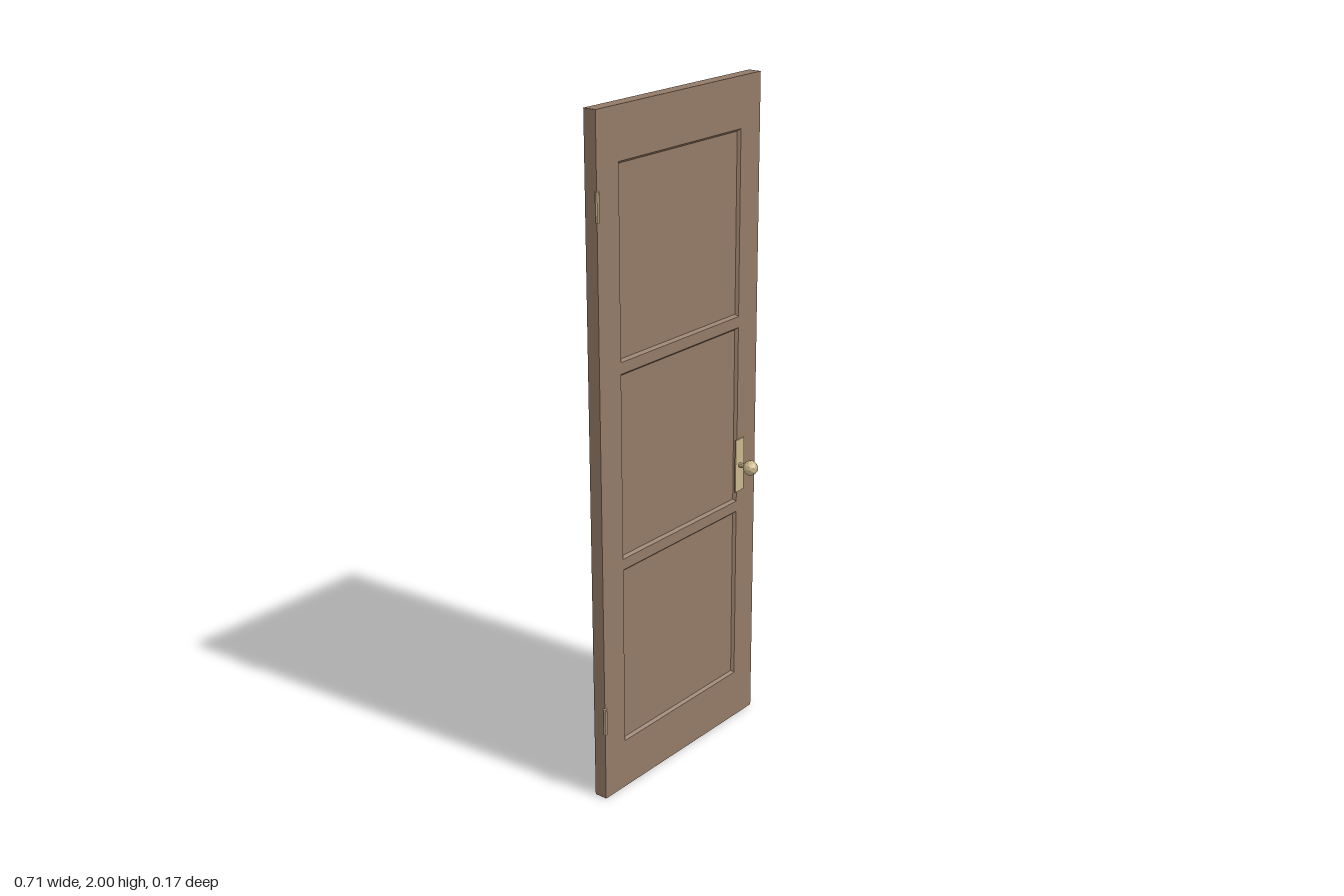
import * as THREE from 'three';

const wood = new THREE.MeshStandardMaterial({ color: 0x937a67, flatShading: true });
wood.name = 'brown wood';
const brass = new THREE.MeshStandardMaterial({ color: 0xcab68c, flatShading: true });
brass.name = 'pale brass';

const LEFT = -0.349, RIGHT = 0.355, HEIGHT = 2, HALF = 0.02;
const PANEL = { x0: -0.261, x1: 0.266, h: 0.545, bottoms: [0.152, 0.73, 1.308] };

function add(parent, name, geometry, material, x = 0, y = 0, z = 0) {
  const mesh = new THREE.Mesh(geometry, material);
  mesh.name = name;
  mesh.position.set(x, y, z);
  parent.add(mesh);
  return mesh;
}

// Counter-clockwise corners of a rectangle
const corners = (x0, y0, x1, y1) => [[x0, y0], [x1, y0], [x1, y1], [x0, y1]];
const outline = (pts) => pts.map(([x, y]) => new THREE.Vector2(x, y));

// Recessed panel facing +z: four sloping moulding faces around a flat field
function panelGeometry(w, h, inset, depth) {
  const outer = corners(-w / 2, -h / 2, w / 2, h / 2).map(([x, y]) => [x, y, 0]);
  const inner = corners(-w / 2 + inset, -h / 2 + inset, w / 2 - inset, h / 2 - inset)
    .map(([x, y]) => [x, y, -depth]);
  const pos = [];
  const quad = (a, b, c, d) => pos.push(...a, ...b, ...c, ...a, ...c, ...d);
  for (let i = 0; i < 4; i++) {
    const j = (i + 1) % 4;
    quad(outer[i], outer[j], inner[j], inner[i]);
  }
  quad(...inner);
  const g = new THREE.BufferGeometry();
  g.setAttribute('position', new THREE.Float32BufferAttribute(pos, 3));
  g.computeVertexNormals();
  return g;
}

export function createModel() {
  const model = new THREE.Group();
  model.name = 'door';

  // Door frame with three openings
  const shape = new THREE.Shape(outline(corners(LEFT, 0, RIGHT, HEIGHT)));
  for (const y of PANEL.bottoms) {
    shape.holes.push(new THREE.Path(outline(corners(PANEL.x0, y, PANEL.x1, y + PANEL.h))));
  }
  const frame = new THREE.ExtrudeGeometry(shape, { depth: 2 * HALF, bevelEnabled: false });
  add(model, 'doorFrame', frame, wood, 0, 0, -HALF);

  // Recessed panels on both faces
  const w = PANEL.x1 - PANEL.x0, cx = (PANEL.x0 + PANEL.x1) / 2;
  const panel = panelGeometry(w, PANEL.h, 0.007, 0.008);
  for (const y of PANEL.bottoms) {
    for (const side of [1, -1]) {
      const name = side > 0 ? 'frontPanel' : 'backPanel';
      const mesh = add(model, name, panel, wood, cx, y + PANEL.h / 2, side * HALF);
      if (side < 0) mesh.rotation.y = Math.PI;
    }
  }

  // Knob, shaft and plate on both faces
  for (const side of [1, -1]) {
    const handle = new THREE.Group();
    handle.name = side > 0 ? 'frontHandle' : 'backHandle';
    handle.position.set(0.276, 0.845, 0);
    if (side < 0) handle.rotation.y = Math.PI;
    add(handle, 'plate', new THREE.BoxGeometry(0.04, 0.165, 0.004), brass, 0, 0, HALF + 0.002);
    const shaft = new THREE.CylinderGeometry(0.0075, 0.0075, 0.04, 8);
    add(handle, 'shaft', shaft.rotateX(Math.PI / 2), brass, 0, 0, 0.04);
    add(handle, 'knob', new THREE.IcosahedronGeometry(0.023, 1), brass, 0, 0, 0.0635);
    model.add(handle);
  }

  // Hinge barrels on the front edge
  for (const y of [0.254, 1.75]) {
    add(model, 'hinge', new THREE.CylinderGeometry(0.006, 0.006, 0.082, 8), brass, LEFT, y, 0.021);
  }
  return model;
}
